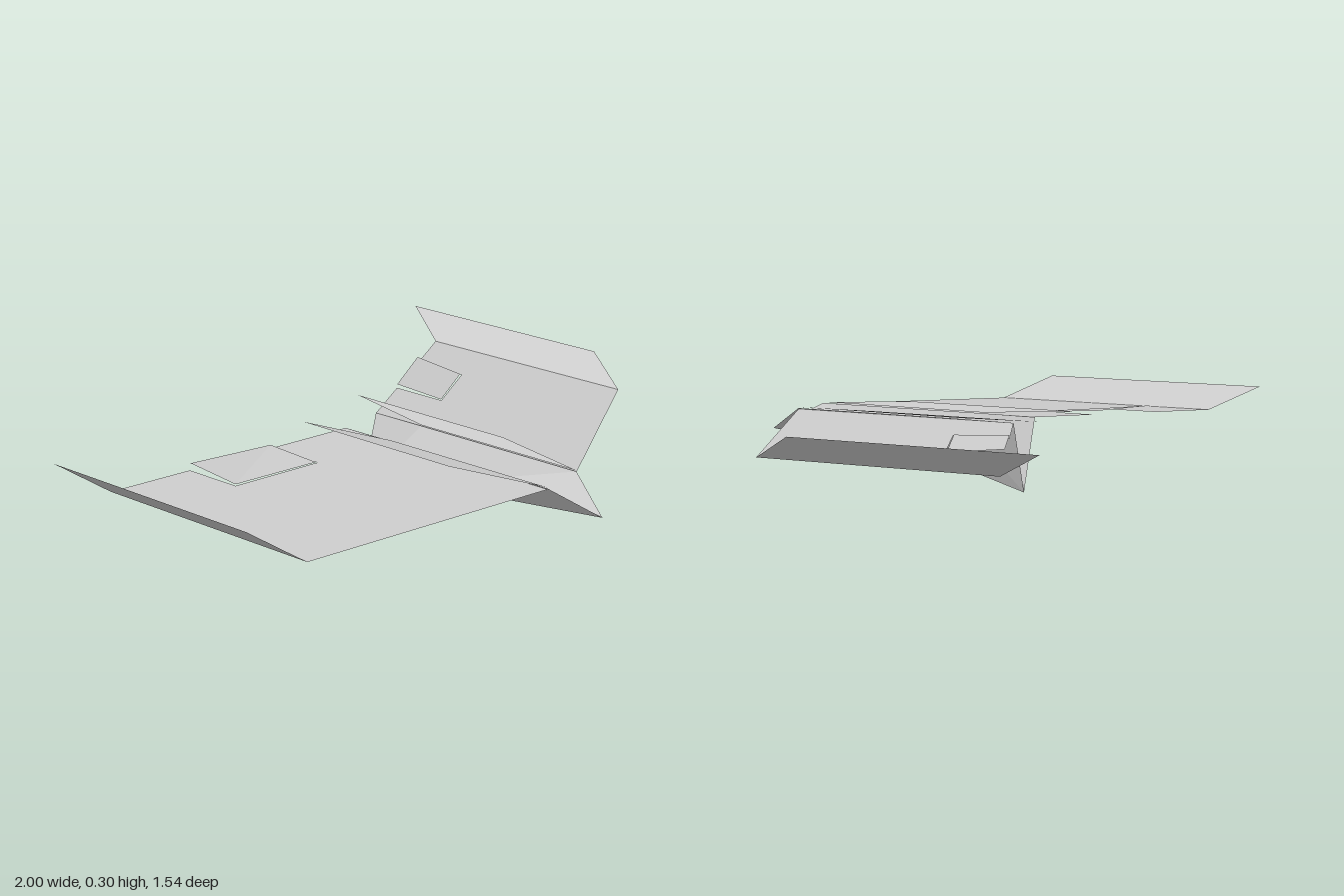
import * as THREE from 'three';

const material = new THREE.MeshStandardMaterial({
  color: 0xcccccc, flatShading: true, side: THREE.DoubleSide,
});

// Thin sheet made of one or more polygons, each triangulated as seen from above
function sheet(name, side, ...polygons) {
  const positions = [];
  for (const polygon of polygons) {
    const outline = polygon.map(([x, , z]) => new THREE.Vector2(x, z));
    for (const face of THREE.ShapeUtils.triangulateShape(outline, [])) {
      const corners = face.map((i) => new THREE.Vector3(...polygon[i]));
      corners.forEach((c) => { c.x *= side; });
      // Turn every triangle so that it faces up
      const normal = new THREE.Triangle(...corners).getNormal(new THREE.Vector3());
      if (normal.y < 0) corners.reverse();
      corners.forEach((c) => positions.push(c.x, c.y, c.z));
    }
  }
  const geometry = new THREE.BufferGeometry();
  geometry.setAttribute('position', new THREE.Float32BufferAttribute(positions, 3));
  geometry.computeVertexNormals();
  const mesh = new THREE.Mesh(geometry, material);
  mesh.name = name;
  return mesh;
}

// Wing plane: slight droop towards the tip, swept edges
const wingY = (x) => 0.255 - 0.055 * (x - 0.087);
const trailingZ = (x) => -0.257 - 0.42 * (x - 0.087);
const onWing = (x, z, lift = 0) => [x, wingY(x) + lift, z];

export function createModel() {
  const model = new THREE.Group();
  model.name = 'paperGlider';

  const rootX = 0.087, tipX = 0.91;
  const flapIn = 0.36, flapOut = 0.64, chord = 0.205, gap = 0.004;

  // Folded body
  const nose = [0, 0.165, 0.77];
  const shoulder = [rootX, 0.258, 0.607];
  const foldTop = [rootX, 0.257, -0.05];
  const rearTop = [rootX, 0.255, -0.257];
  const keelBend = [0, 0.082, 0.02];
  const keelRear = [0, 0, -0.257];

  for (const side of [1, -1]) {
    const half = new THREE.Group();
    half.name = side > 0 ? 'leftHalf' : 'rightHalf';
    model.add(half);

    half.add(sheet('bodyWall', side,
      [nose, shoulder, keelBend],
      [shoulder, foldTop, keelBend],
      [foldTop, keelRear, keelBend],
      [foldTop, rearTop, keelRear]));

    // Wing with a notch for the flap in its trailing edge
    half.add(sheet('wing', side, [
      onWing(rootX, 0.607),
      onWing(tipX, 0.26),
      onWing(tipX, -0.604),
      onWing(flapOut + gap, trailingZ(flapOut + gap)),
      onWing(flapOut + gap, trailingZ(flapOut) + chord + gap),
      onWing(flapIn - gap, trailingZ(flapIn) + chord + gap),
      onWing(flapIn - gap, trailingZ(flapIn - gap)),
      onWing(rootX, -0.257),
    ]));

    // Flap with raised trailing edge
    half.add(sheet('flap', side, [
      onWing(flapIn, trailingZ(flapIn) + chord, 0.002),
      onWing(flapOut, trailingZ(flapOut) + chord, 0.003),
      [flapOut, 0.25, trailingZ(flapOut)],
      [flapIn, 0.253, trailingZ(flapIn)],
    ]));

    // Upturned wing tip
    half.add(sheet('winglet', side, [
      onWing(tipX, 0.26), [1, 0.298, 0.09], [1, 0.298, -0.775], onWing(tipX, -0.604),
    ]));

    // Narrow flange folded out along the body opening, a little wider on the right
    const flangeX = side > 0 ? 0.148 : 0.168;
    half.add(sheet('flange', side, [
      [rootX, 0.262, 0.607], [flangeX, 0.273, 0.26],
      [flangeX, 0.273, -0.39], [rootX, 0.26, -0.05],
    ]));
  }
  return model;
}
